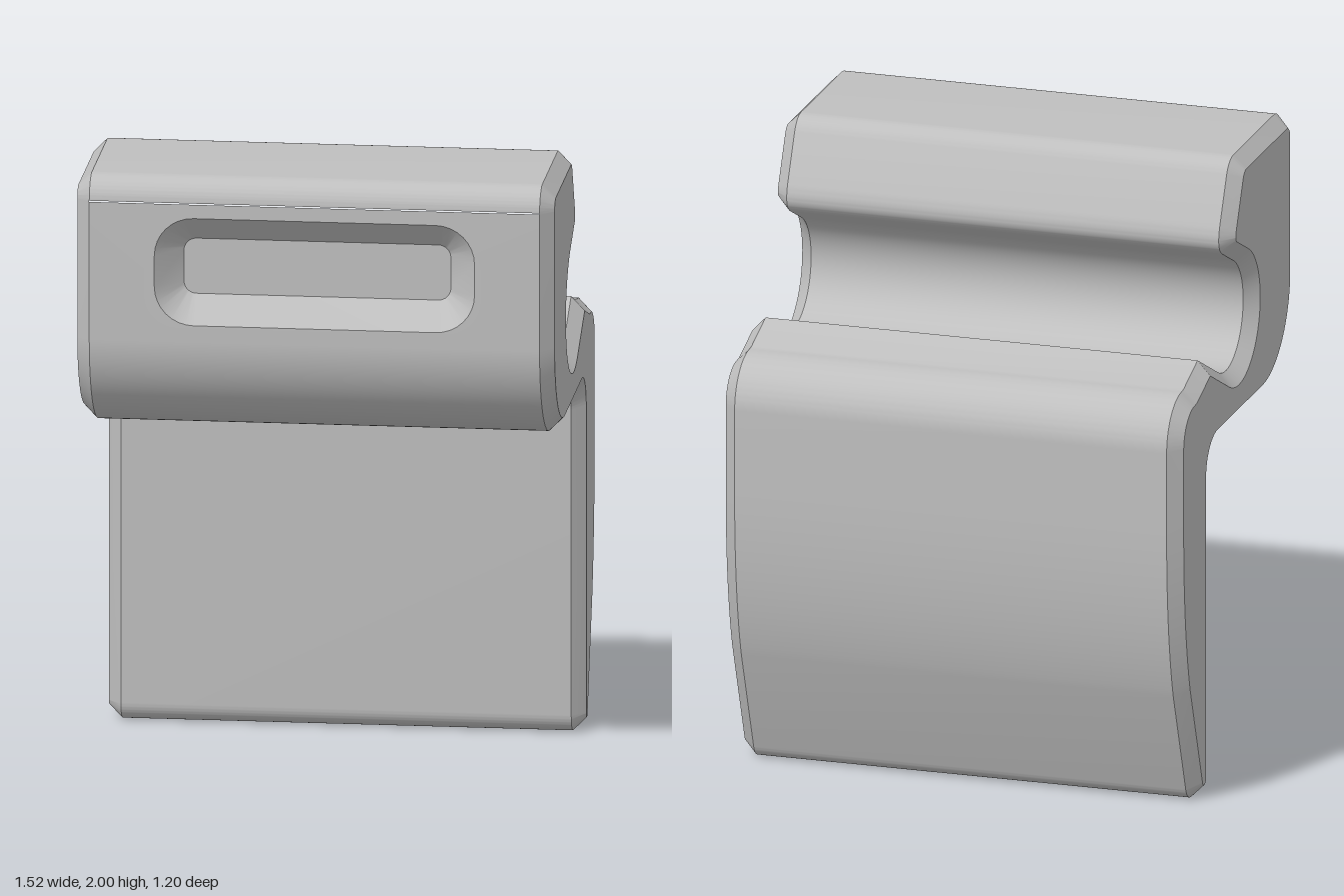
import * as THREE from 'three';
import { mergeGeometries, toCreasedNormals } from 'three/addons/utils/BufferGeometryUtils.js';

const HALF = 0.76, BEVEL = 0.043, FRONT = 0.6, FACE_LOW = 1.475, FACE_HIGH = 1.92;
const PI = Math.PI;

// Side profile: shape x is world z, shape y is world y
function sideProfile() {
  const s = new THREE.Shape();
  s.moveTo(FRONT, FACE_HIGH);
  s.absarc(0.52, FACE_HIGH, 0.08, 0, PI / 2, false);
  // upper lip
  s.lineTo(0.1, 2);
  s.quadraticCurveTo(0.05, 2, 0.025, 1.95);
  s.lineTo(-0.045, 1.805);
  s.quadraticCurveTo(-0.075, 1.735, -0.02, 1.706);
  // round channel
  const a = 1.107;
  s.absarc(0.02, 1.485, 0.18, a, a - PI, true);
  // ridge and rear shoulder
  s.lineTo(-0.276, 1.432);
  s.lineTo(-0.424, 1.382);
  s.absarc(-0.442, 1.222, 0.158, PI / 2, PI, false);
  // curved back of the tongue, rounded tip
  s.lineTo(-0.6, 0.95);
  s.quadraticCurveTo(-0.6, 0.62, -0.53, 0.39);
  s.absarc(-0.342, 0.062, 0.062, PI * 1.11, PI * 2, false);
  // front of the tongue, inner fillet, underside and front curve
  s.absarc(-0.2, 1.06, 0.08, PI, PI / 2, true);
  s.absarc(0.265, FACE_LOW, 0.335, -PI / 2, 0, false);
  return s;
}

// Counter-clockwise rounded rectangle around (0, cy)
function roundedLoop(hw, hh, r, cy) {
  const pts = [], n = 8;
  [[1, 1], [-1, 1], [-1, -1], [1, -1]].forEach(([sx, sy], q) => {
    for (let i = 0; i <= n; i++) {
      const t = (q + i / n) * PI / 2;
      pts.push(new THREE.Vector2(sx * (hw - r) + r * Math.cos(t), cy + sy * (hh - r) + r * Math.sin(t)));
    }
  });
  return pts;
}

// Geometry with positions only, from a flat list of corners
function fromCorners(list) {
  const g = new THREE.BufferGeometry();
  g.setAttribute('position', new THREE.Float32BufferAttribute(list, 3));
  return g;
}

function flatPanel(shape, z) {
  const g = new THREE.ShapeGeometry(shape).toNonIndexed().translate(0, 0, z);
  return fromCorners(Array.from(g.attributes.position.array));
}

export function createModel() {
  const group = new THREE.Group();
  const grey = new THREE.MeshStandardMaterial({ color: 0xbfbfbf });
  grey.name = 'grey plastic';
  const add = (name, geometry) => {
    const mesh = new THREE.Mesh(toCreasedNormals(geometry, PI / 7), grey);
    mesh.name = name;
    group.add(mesh);
  };

  const core = HALF - BEVEL;
  const outer = roundedLoop(0.51, 0.175, 0.125, 1.7);
  const inner = roundedLoop(0.425, 0.09, 0.04, 1.7);

  // Chamfered body, with the flat front face left out
  const solid = new THREE.ExtrudeGeometry(sideProfile(), {
    depth: core * 2, curveSegments: 16, bevelEnabled: true, bevelSegments: 1,
    bevelThickness: BEVEL, bevelSize: BEVEL, bevelOffset: -BEVEL,
  }).translate(0, 0, -core).rotateY(-PI / 2);
  const p = solid.attributes.position.array, kept = [];
  for (let i = 0; i < p.length; i += 9) {
    const onFront = [2, 5, 8].every((k) => p[i + k] > FRONT - 1e-4);
    if (!onFront) kept.push(...p.slice(i, i + 9));
  }

  // Front face with the slot opening
  const face = new THREE.Shape([
    new THREE.Vector2(-core, FACE_LOW), new THREE.Vector2(core, FACE_LOW),
    new THREE.Vector2(core, FACE_HIGH), new THREE.Vector2(-core, FACE_HIGH),
  ]);
  face.holes.push(new THREE.Path(outer));
  add('clipBody', mergeGeometries([fromCorners(kept), flatPanel(face, FRONT)]));

  // Sloped slot walls and floor
  const depth = 0.085, walls = [];
  outer.forEach((o, i) => {
    const j = (i + 1) % outer.length;
    const at = (v, z) => [v.x, v.y, z];
    const oi = at(o, FRONT), oj = at(outer[j], FRONT);
    const ni = at(inner[i], FRONT - depth), nj = at(inner[j], FRONT - depth);
    walls.push(...oi, ...oj, ...ni, ...oj, ...nj, ...ni);
  });
  add('slotWalls', fromCorners(walls));
  add('slotFloor', flatPanel(new THREE.Shape(inner), FRONT - depth));

  return group;
}
